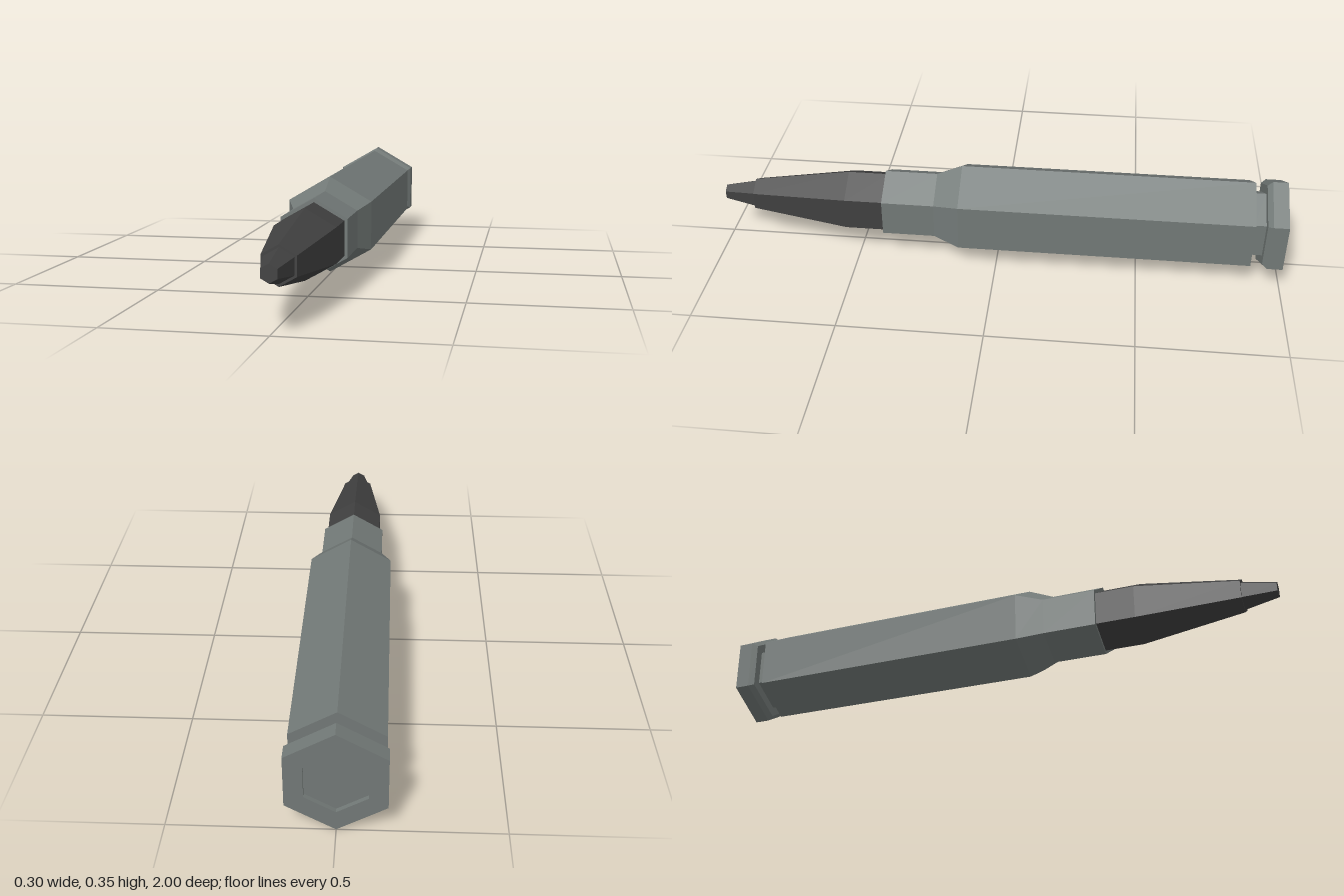
import * as THREE from 'three';

const CENTRE_Y = 0.174;

const casingGrey = new THREE.MeshStandardMaterial({ color: 0x727977 });
casingGrey.name = 'casingGrey';
const tipCharcoal = new THREE.MeshStandardMaterial({ color: 0x404040 });
tipCharcoal.name = 'tipCharcoal';

// Six-sided flat-faced solid along z; profile holds [radius, z] from back to front.
function hexPart(name, profile, material) {
  const points = profile.map(([r, z]) => new THREE.Vector2(r, z));
  const geometry = new THREE.LatheGeometry(points, 6).toNonIndexed();
  geometry.rotateX(Math.PI / 2);
  geometry.computeVertexNormals();
  const mesh = new THREE.Mesh(geometry, material);
  mesh.name = name;
  mesh.position.y = CENTRE_Y;
  return mesh;
}

export function createModel() {
  const model = new THREE.Group();
  model.name = 'cartridge';
  model.add(
    // Base rim with a shallow recess in the back and a chamfered front edge
    hexPart('rim', [
      [0, -0.985], [0.108, -0.985], [0.108, -1], [0.174, -1],
      [0.174, -0.947], [0.158, -0.93], [0.124, -0.93],
    ], casingGrey),
    // Narrow groove between rim and body
    hexPart('groove', [[0.124, -0.93], [0.124, -0.89]], casingGrey),
    // Long body, sloping shoulder and neck
    hexPart('casing', [
      [0.124, -0.89], [0.167, -0.89], [0.167, 0.13],
      [0.128, 0.22], [0.128, 0.405], [0.114, 0.405],
    ], casingGrey),
    // Tapered projectile
    hexPart('projectile', [
      [0.115, 0.4], [0.115, 0.54], [0.061, 0.887], [0, 0.887],
    ], tipCharcoal),
    // Small separate nose
    hexPart('nose', [[0.053, 0.885], [0.028, 1], [0, 1]], tipCharcoal),
  );
  return model;
}
